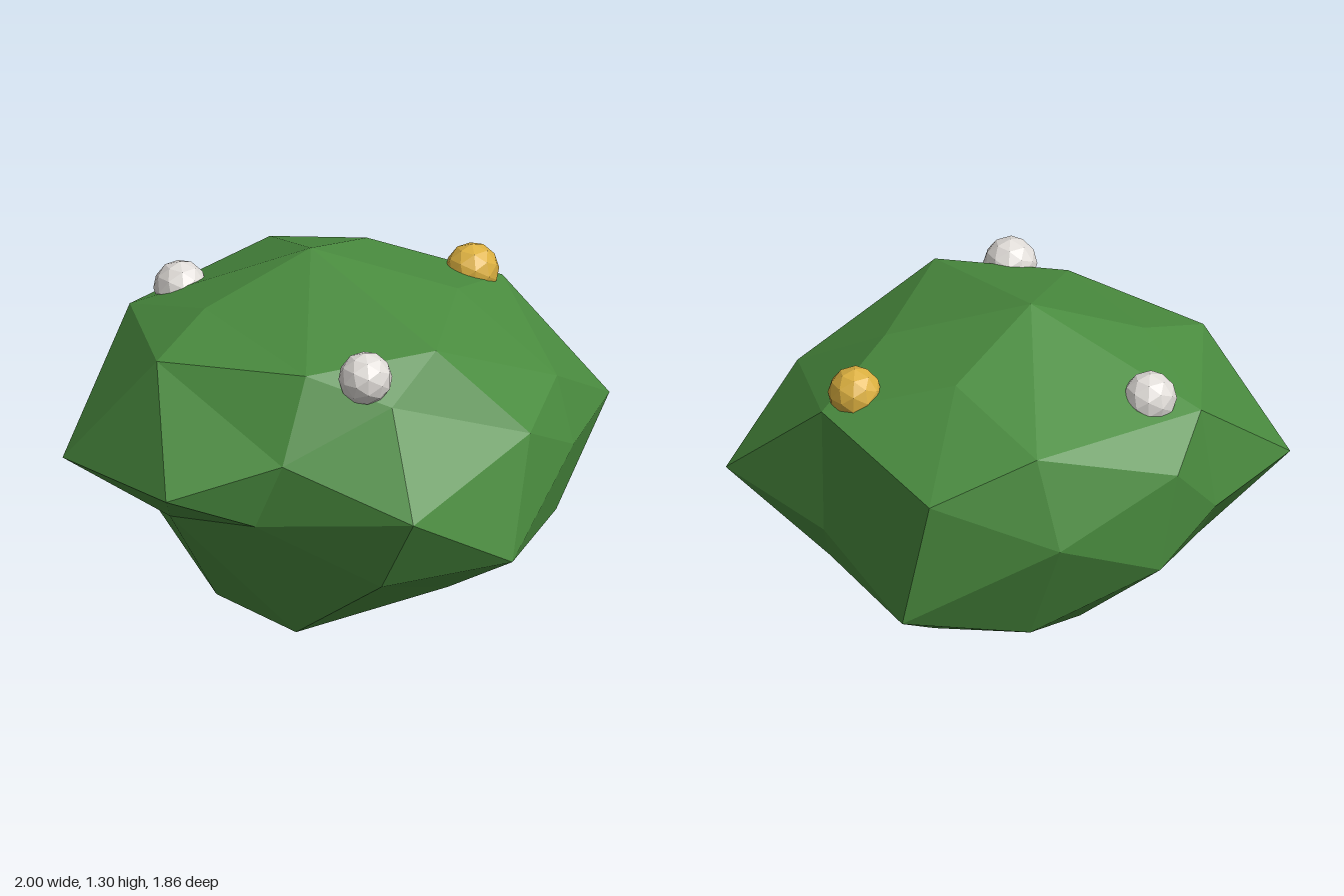
import * as THREE from 'three';
import { ConvexGeometry } from 'three/addons/geometries/ConvexGeometry.js';

const mat = (name, color) => {
  const m = new THREE.MeshStandardMaterial({ color, flatShading: true });
  m.name = name;
  return m;
};

// Cross-section rings of the lumpy bush, from the crown down to the base
const crown = [[-0.03, 1.3, -0.17], [0.4, 1.16, -0.36], [0.42, 1.12, 0.16], [-0.02, 1.12, 0.57], [-0.47, 1.06, 0.34],
  [-0.46, 1.13, -0.28]];
const shoulder = [[0.81, 1, -0.05], [0.58, 0.85, 0.56], [0.27, 0.77, 0.78], [-0.26, 0.96, 0.6], [-0.65, 0.76, 0.42],
  [-0.76, 1.02, -0.2], [-0.46, 1, -0.73], [-0.26, 0.86, -0.91], [0.3, 1.04, -0.82], [0.7, 0.88, -0.7]];
const middle = [[1, 0.6, 0.36], [0.58, 0.6, 0.66], [-0.4, 0.61, 0.9], [-0.71, 0.5, 0.33], [-1, 0.62, 0.15],
  [-0.96, 0.57, -0.52], [-0.49, 0.6, -0.79], [0.26, 0.68, -0.93], [0.85, 0.54, -0.14]];
const lower = [[0.79, 0.38, -0.08], [0.56, 0.31, 0.58], [0.06, 0.345, 0.93], [-0.41, 0.3, 0.72], [-0.72, 0.38, -0.17],
  [-0.55, 0.325, -0.53], [-0.19, 0.46, -0.9], [0.28, 0.23, -0.73], [0.79, 0.37, -0.65]];
const base = [[0.43, 0.14, 0.09], [0.08, 0.1, 0.52], [-0.51, 0.01, 0.33], [-0.5, 0, -0.16], [-0.03, 0.13, -0.56],
  [0.53, 0.165, -0.43], [0.08, 0.04, 0.05]];

// Skins a star-shaped body: triangulate the points on a sphere, then move them back out
function skin(points) {
  const centre = new THREE.Vector3(0, 0.63, 0);
  const dirs = points.map((p) => {
    const d = p.clone().sub(centre);
    d.y /= 0.7;
    return d.normalize();
  });
  const geo = new ConvexGeometry(dirs);
  const pos = geo.attributes.position;
  const v = new THREE.Vector3();
  for (let i = 0; i < pos.count; i++) {
    v.fromBufferAttribute(pos, i);
    const p = points[dirs.findIndex((d) => d.distanceTo(v) < 1e-4)];
    pos.setXYZ(i, p.x, p.y, p.z);
  }
  geo.computeVertexNormals();
  return geo;
}

export function createModel() {
  const group = new THREE.Group();
  group.name = 'floweringBush';
  const green = mat('leafGreen', 0x4a8c3f);
  const white = mat('petalWhite', 0xe0dcd8);
  const yellow = mat('petalYellow', 0xdcb040);

  // Foliage
  const points = [crown, shoulder, middle, lower, base].flat().map((p) => new THREE.Vector3(...p));
  const foliage = new THREE.Mesh(skin(points), green);
  foliage.name = 'foliage';
  group.add(foliage);

  // Round blossoms on top
  const blossom = (name, material, x, y, z) => {
    const m = new THREE.Mesh(new THREE.IcosahedronGeometry(0.103, 1), material);
    m.name = name;
    m.position.set(x, y, z);
    group.add(m);
  };
  blossom('frontBlossom', white, -0.305, 1.06, 0.495);
  blossom('backBlossom', white, -0.29, 1.055, -0.635);
  blossom('leftBlossom', yellow, 0.675, 1.055, -0.065);
  return group;
}
